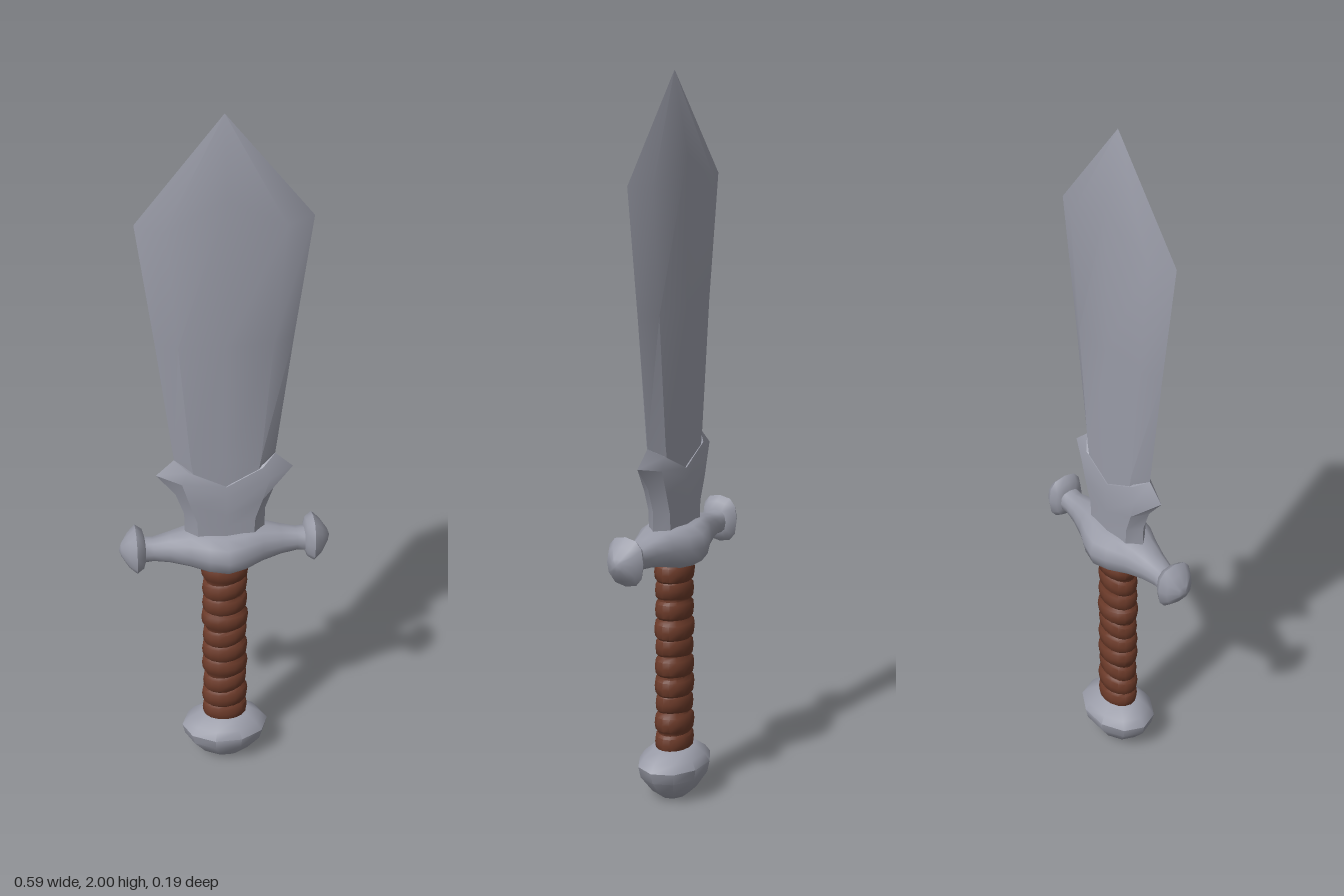
import * as THREE from 'three';
import { toCreasedNormals } from 'three/addons/utils/BufferGeometryUtils.js';

// Skin a list of closed rings of [x, y, z] points, then keep sharp edges
function loft(rings, crease) {
  const n = rings[0].length;
  const index = [];
  for (let r = 0; r < rings.length - 1; r++) {
    for (let j = 0; j < n; j++) {
      const a = r * n + j, b = r * n + (j + 1) % n;
      index.push(a, a + n, b, b, a + n, b + n);
    }
  }
  const g = new THREE.BufferGeometry();
  g.setAttribute('position', new THREE.Float32BufferAttribute(rings.flat(2), 3));
  g.setIndex(index);
  return toCreasedNormals(g, crease);
}

// Blade ring: cutting edges, bevel lines and a shallow central ridge
function bladeRing([w, yEdge, b, yBevel, tb, yMid, t]) {
  return [
    [w, yEdge, 0], [b, yBevel, tb], [0, yMid, t], [-b, yBevel, tb],
    [-w, yEdge, 0], [-b, yBevel, -tb], [0, yMid, -t], [b, yBevel, -tb],
  ];
}

// Rounded ring across the x axis, between two heights
function guardRing([x, half, bottom, top]) {
  const soft = (v) => Math.sign(v) * Math.abs(v) ** 0.75;
  return Array.from({ length: 12 }, (_, k) => {
    const a = k / 12 * Math.PI * 2;
    return [x, (top + bottom) / 2 + soft(Math.sin(a)) * (top - bottom) / 2, soft(Math.cos(a)) * half];
  });
}

// Oval ring around the y axis
function ovalRing(rx, rz, y, sides, tilt = 0) {
  return Array.from({ length: sides }, (_, k) => {
    const a = k / sides * Math.PI * 2;
    return [rx * Math.cos(a), y + tilt * Math.cos(a + 0.5), rz * Math.sin(a)];
  });
}

export function createModel() {
  const model = new THREE.Group();
  model.name = 'shortSword';
  const steel = new THREE.MeshStandardMaterial({ color: 0x9a9ca8 });
  steel.name = 'steel';
  const leather = new THREE.MeshStandardMaterial({ color: 0x6b3a29 });
  leather.name = 'brownLeather';

  const add = (name, geometry, material) => {
    const mesh = new THREE.Mesh(geometry, material);
    mesh.name = name;
    model.add(mesh);
  };

  // Blade: edge half-width and height, bevel half-width, height and depth, ridge height and depth
  add('blade', loft([
    [0.13, 1.0, 0.085, 0.97, 0.03, 0.93, 0.034],
    [0.138, 1.03, 0.095, 1.03, 0.03, 1.03, 0.035],
    [0.182, 1.38, 0.125, 1.38, 0.03, 1.38, 0.037],
    [0.228, 1.72, 0.155, 1.71, 0.03, 1.79, 0.04],
    [0, 2, 0, 2, 0, 2, 0],
  ].map(bladeRing), 0.55), steel);

  // Flared collar with two side spurs at the root of the blade
  add('bladeCollar', loft([
    [0.11, 0.75, 0.075, 0.75, 0.034, 0.75, 0.04],
    [0.112, 0.85, 0.08, 0.84, 0.034, 0.82, 0.04],
    [0.135, 0.915, 0.1, 0.9, 0.035, 0.86, 0.041],
    [0.187, 0.98, 0.12, 0.965, 0.034, 0.92, 0.041],
    [0.138, 1.025, 0.1, 1.0, 0.031, 0.95, 0.037],
    [0.08, 1.02, 0.05, 0.99, 0.01, 0.95, 0.01],
  ].map(bladeRing), 0.6), steel);

  // Crossguard: x, half depth, bottom, top; mirrored to the other side
  const half = [
    [0, 0.097, 0.672, 0.797], [0.05, 0.084, 0.677, 0.8], [0.1, 0.06, 0.692, 0.795],
    [0.155, 0.042, 0.705, 0.782], [0.2, 0.032, 0.71, 0.772], [0.222, 0.033, 0.708, 0.774],
    [0.228, 0.045, 0.69, 0.798], [0.247, 0.055, 0.677, 0.812], [0.268, 0.044, 0.697, 0.79],
    [0.288, 0.016, 0.728, 0.762], [0.294, 0, 0.745, 0.745],
  ];
  const mirrored = half.slice(1).reverse().map(([x, ...rest]) => [-x, ...rest]);
  add('crossguard', loft([...mirrored, ...half].map(guardRing), 0.9), steel);

  // Grip: slightly tilted bulging turns of leather
  const gripRings = [];
  const turns = 10, bottom = 0.135, height = 0.55;
  const bulge = [[0.02, 0.87], [0.16, 0.98], [0.5, 1.02], [0.84, 0.98], [0.98, 0.87]];
  for (let i = 0; i < turns; i++) {
    const tilt = (i % 3 - 1) * 0.005 + 0.004;
    const size = 0.064 + 0.002 * Math.sin(i * 2.3);
    for (const [f, s] of bulge) {
      gripRings.push(ovalRing(size * s, size * s * 0.77, bottom + (i + f) * height / turns, 16, tilt));
    }
  }
  add('grip', loft(gripRings, 0.7), leather);

  // Pommel: faceted oval knob with closed ends
  add('pommel', loft([
    [0, 0], [0.05, 0], [0.078, 0.02], [0.118, 0.068], [0.126, 0.1],
    [0.108, 0.122], [0.072, 0.146], [0, 0.148],
  ].map(([r, y]) => ovalRing(r, r * 0.76, y, 10)), 0.75), steel);

  return model;
}
